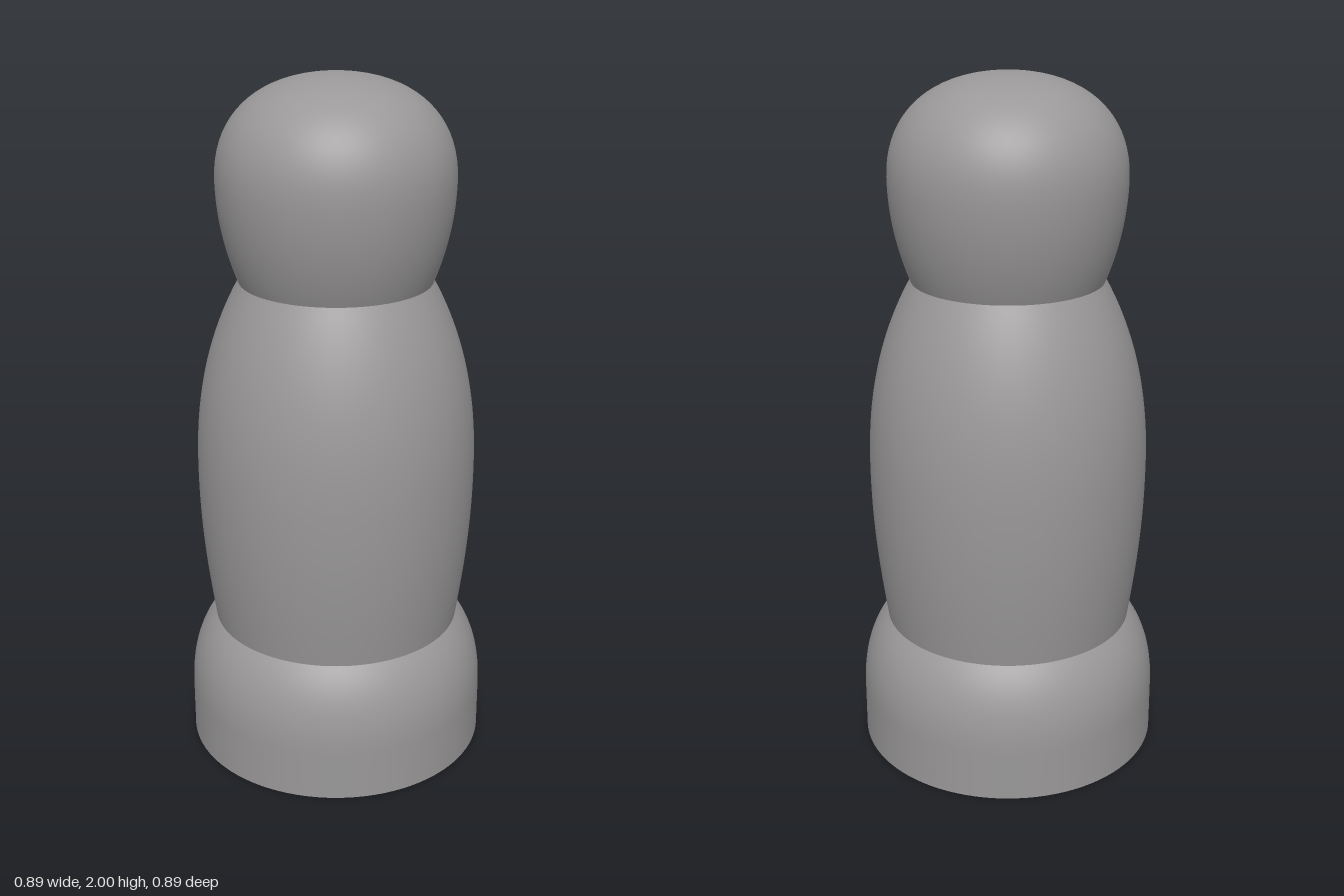
import * as THREE from 'three';

const grey = new THREE.MeshStandardMaterial({ color: 0x9a9898 });
grey.name = 'grey';

// Smooth turned part: each curve holds four [radius, height] Bezier points, listed bottom to top
function turned(name, curves) {
  const points = [];
  curves.forEach((curve, i) => {
    const bezier = new THREE.CubicBezierCurve(...curve.map(([r, y]) => new THREE.Vector2(r, y)));
    points.push(...bezier.getPoints(20).slice(i ? 1 : 0));
  });
  const mesh = new THREE.Mesh(new THREE.LatheGeometry(points, 96), grey);
  mesh.name = name;
  return mesh;
}

export function createModel() {
  const model = new THREE.Group();
  model.name = 'pegFigure';

  // Rounded foot with a flat underside
  model.add(turned('base', [
    [[0.443, 0], [0.443, 0.05], [0.443, 0.1], [0.443, 0.15]],
    [[0.443, 0.25], [0.42, 0.33], [0.365, 0.393]],
  ].map((c, i) => (i ? [[0.443, 0.15], ...c] : c))));
  const underside = new THREE.Mesh(new THREE.CircleGeometry(0.443, 96), grey);
  underside.rotation.x = Math.PI / 2;
  underside.name = 'underside';
  model.add(underside);

  // Barrel-shaped body
  model.add(turned('body', [
    [[0.365, 0.393], [0.39, 0.56], [0.405, 0.7], [0.405, 0.88]],
    [[0.405, 0.88], [0.405, 1.08], [0.37, 1.26], [0.275, 1.43]],
  ]));

  // Domed head
  model.add(turned('head', [
    [[0.275, 1.43], [0.315, 1.53], [0.333, 1.63], [0.333, 1.72]],
    [[0.333, 1.72], [0.333, 1.9], [0.2, 2], [0, 2]],
  ]));

  return model;
}
